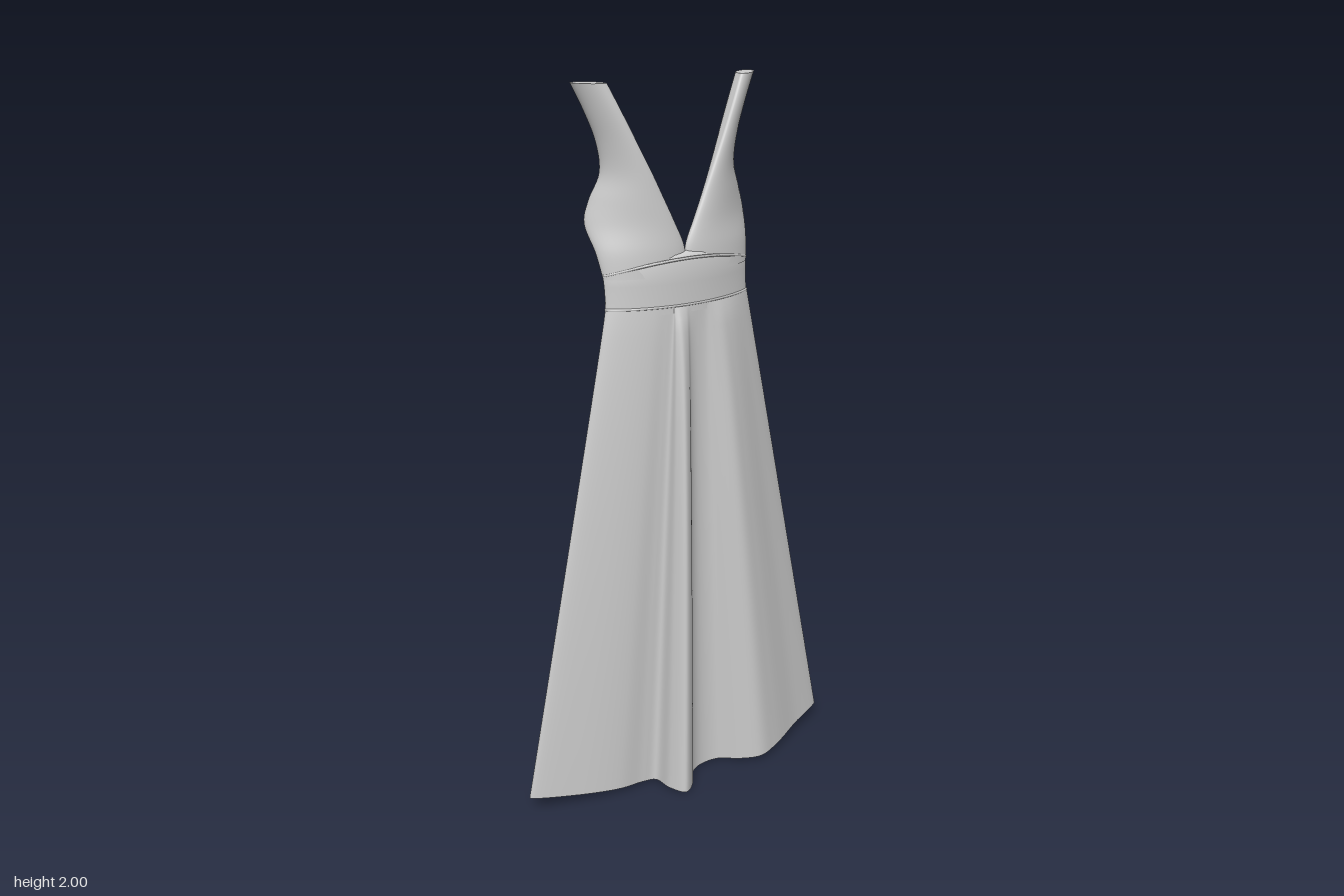
import * as THREE from 'three';

const material = new THREE.MeshStandardMaterial({ color: 0xcccccc, side: THREE.DoubleSide });

// Smooth surface through closed rings of equal length, lowest ring first
function loft(rings) {
  const n = rings[0].length, pos = [], index = [];
  rings.forEach(r => r.forEach(p => pos.push(p.x, p.y, p.z)));
  for (let j = 0; j < rings.length - 1; j++) {
    for (let i = 0; i < n; i++) {
      const k = (i + 1) % n, a = j * n + i, b = j * n + k;
      index.push(a, b, b + n, a, b + n, a + n);
    }
  }
  return geometry(pos, index);
}

// Flat lid over the top ring
function lid(ring) {
  const n = ring.length, c = new THREE.Vector3(), pos = [], index = [];
  ring.forEach(p => { c.addScaledVector(p, 1 / n); pos.push(p.x, p.y, p.z); });
  pos.push(c.x, c.y, c.z);
  for (let i = 0; i < n; i++) index.push(i, (i + 1) % n, n);
  return geometry(pos, index);
}

function geometry(pos, index) {
  const g = new THREE.BufferGeometry();
  g.setAttribute('position', new THREE.Float32BufferAttribute(pos, 3));
  g.setIndex(index);
  g.computeVertexNormals();
  return g;
}

// Smoothly interpolate rows of numbers, the first column being the height
function smoothRows(rows, count) {
  const out = Array.from({ length: count + 1 }, () => []);
  for (let c = 0; c < rows[0].length; c++) {
    const curve = new THREE.SplineCurve(rows.map((r, i) => new THREE.Vector2(i, r[c])));
    out.forEach((o, i) => o.push(curve.getPoint(i / count).y));
  }
  return out;
}

// Hem folds seen from above as [x, z], front edge then back edge
const HEM_FRONT = [[-0.505, -0.01], [-0.38, 0.022], [-0.24, 0.04], [-0.16, 0.034], [-0.12, 0.04],
  [-0.108, 0.1], [-0.08, 0.142], [-0.04, 0.115], [-0.005, 0.06], [0.04, 0.035], [0.1, 0.038],
  [0.15, 0.078], [0.21, 0.105], [0.28, 0.085], [0.39, 0.03]];
const HEM_BACK = [[0.505, -0.025], [0.38, -0.05], [0.27, -0.063], [0.2, -0.096], [0.11, -0.11],
  [0.06, -0.08], [0.02, -0.047], [-0.018, -0.06], [-0.03, -0.12], [-0.055, -0.143], [-0.083, -0.11],
  [-0.1, -0.06], [-0.2, -0.065], [-0.35, -0.04]];

// Shallow crescent used around the waist
const crescent = (u, front, mid, sag, half) =>
  mid - sag * u * u + (front ? 1 : -1) * half * Math.sqrt(Math.max(0, 1 - u * u));

function skirtRings() {
  const curve = new THREE.CatmullRomCurve3(
    [...HEM_FRONT, ...HEM_BACK].map(([x, z]) => new THREE.Vector3(x, 0, z)), true, 'centripetal');
  const N = 232, total = HEM_FRONT.length + HEM_BACK.length;
  const rings = [];
  for (let j = 0; j <= 40; j++) {
    const t = 1 - j / 40, ring = []; // t: 1 at hem, 0 at waist
    const fold = Math.pow(t, 0.56);
    for (let i = 0; i < N; i++) {
      const s = i / N, p = curve.getPoint(s);
      const u = THREE.MathUtils.clamp(p.x / 0.505, -1, 1);
      const waistZ = crescent(u, s * total < HEM_FRONT.length, 0.008, 0.035, 0.03);
      const hemY = 0.004 + 0.046 * Math.pow(Math.abs(u), 1.6);
      ring.push(new THREE.Vector3(u * (0.224 + 0.281 * t),
        THREE.MathUtils.lerp(1.42, hemY, t), THREE.MathUtils.lerp(waistZ, p.z, fold)));
    }
    rings.push(ring);
  }
  return rings;
}

// Waistband ring; arch lifts the middle
function waistRing(y, width, mid, sag, half, arch = 0) {
  return Array.from({ length: 96 }, (_, i) => {
    const a = i / 96 * Math.PI * 2, u = -Math.cos(a);
    return new THREE.Vector3(u * width, y + arch * (1 - u * u),
      crescent(u, Math.sin(a) >= 0, mid, sag, half));
  });
}

// Bodice half rising into its strap: [y, inner x, outer x, inner z, outer z, half thickness, bend]
const BODICE = [
  [1.50, 0.000, 0.224, 0.012, -0.035, 0.024, 0.010],
  [1.57, 0.002, 0.235, 0.010, -0.055, 0.027, 0.012],
  [1.64, 0.032, 0.246, 0.008, -0.092, 0.027, 0.014],
  [1.70, 0.060, 0.230, 0.004, -0.095, 0.026, 0.012],
  [1.77, 0.093, 0.203, -0.001, -0.084, 0.024, 0.006],
  [1.85, 0.132, 0.211, -0.010, -0.086, 0.023, 0.002],
  [1.93, 0.170, 0.240, -0.022, -0.094, 0.023, 0],
  [2.00, 0.203, 0.273, -0.036, -0.102, 0.023, 0],
];

function bodiceRings(side) {
  return smoothRows(BODICE, 42).map(([y, xi, xo, zi, zo, h, bend]) => {
    const dx = (xo - xi) / 2, dz = (zo - zi) / 2, len = Math.hypot(dx, dz);
    const ring = Array.from({ length: 40 }, (_, i) => {
      const a = i / 40 * Math.PI * 2, u = -Math.cos(a), v = Math.sin(a) * h;
      const x = Math.max(xi, (xi + xo) / 2 + u * dx - v * dz / len);
      const z = (zi + zo) / 2 + u * dz + v * dx / len + bend * (1 - u * u);
      return new THREE.Vector3(side * x, y, z);
    });
    return side > 0 ? ring : ring.reverse();
  });
}

export function createModel() {
  const group = new THREE.Group();
  const add = (name, geo) => {
    const mesh = new THREE.Mesh(geo, material);
    mesh.name = name;
    group.add(mesh);
  };

  add('skirt', loft(skirtRings()));

  // Fitted band between skirt and bodice, closed at its top
  add('waistband', loft([
    waistRing(1.40, 0.224, 0.008, 0.035, 0.031),
    waistRing(1.44, 0.222, 0.009, 0.038, 0.029),
    waistRing(1.48, 0.223, 0.011, 0.043, 0.028),
    waistRing(1.51, 0.225, 0.012, 0.047, 0.027, 0.025),
    waistRing(1.525, 0.224, 0.012, 0.05, 0.016, 0.03),
    waistRing(1.53, 0.222, 0.012, 0.052, 0.001, 0.03),
  ]));

  // Raised seams along both edges of the band
  const seam = (name, ring) => add(name, new THREE.TubeGeometry(
    new THREE.CatmullRomCurve3(ring, true), 120, 0.004, 6, true));
  seam('lowerSeam', waistRing(1.42, 0.222, 0.008, 0.036, 0.029));
  seam('upperSeam', waistRing(1.51, 0.223, 0.012, 0.047, 0.026, 0.035));

  for (const side of [1, -1]) {
    const label = side > 0 ? 'left' : 'right';
    const rings = bodiceRings(side);
    add(label + 'BodiceAndStrap', loft(rings));
    add(label + 'StrapEnd', lid(rings[rings.length - 1]));
  }
  return group;
}
